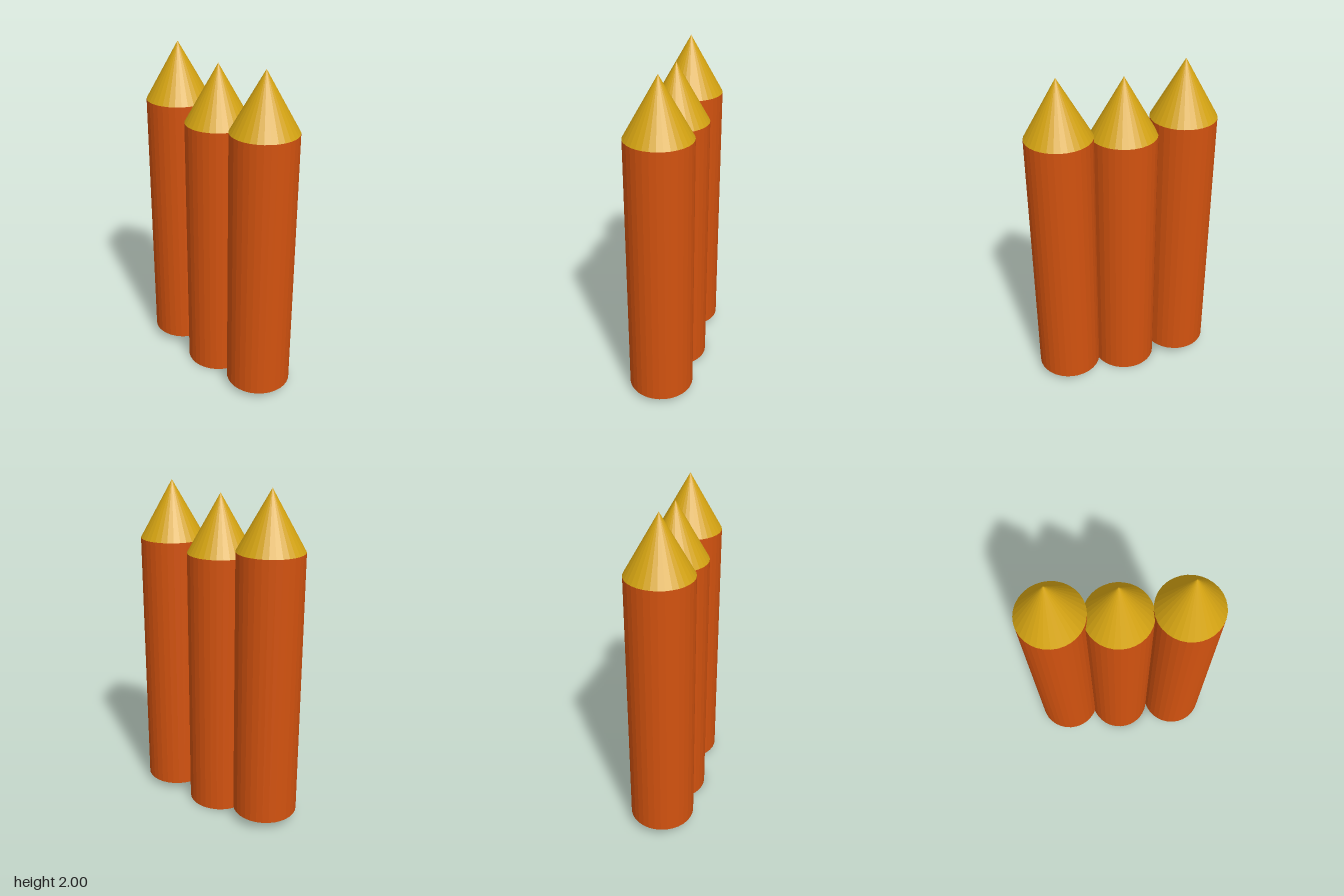
import * as THREE from 'three';

const RADIUS = 0.193, BODY = 1.6, TIP = 0.34, SIDES = 32;

export function createModel() {
  const group = new THREE.Group();
  const orange = new THREE.MeshStandardMaterial({ color: 0xd2520f, flatShading: true });
  const gold = new THREE.MeshStandardMaterial({ color: 0xd4a312, flatShading: true });
  const bodyGeometry = new THREE.CylinderGeometry(RADIUS, RADIUS, BODY, SIDES);
  const tipGeometry = new THREE.ConeGeometry(RADIUS, TIP, SIDES);

  // One pointed stake: round post with a conical tip, standing on its base
  const addStake = (name, y, z) => {
    const stake = new THREE.Group();
    stake.name = name;
    const post = new THREE.Mesh(bodyGeometry, orange);
    post.name = 'post';
    post.position.y = BODY / 2;
    const tip = new THREE.Mesh(tipGeometry, gold);
    tip.name = 'tip';
    tip.position.y = BODY + TIP / 2;
    stake.add(post, tip);
    stake.position.set(0, y, z);
    group.add(stake);
  };

  // Row of three at slightly different heights
  addStake('frontStake', 0.04, 0.367);
  addStake('middleStake', 0, -0.009);
  addStake('backStake', 0.06, -0.367);
  return group;
}
